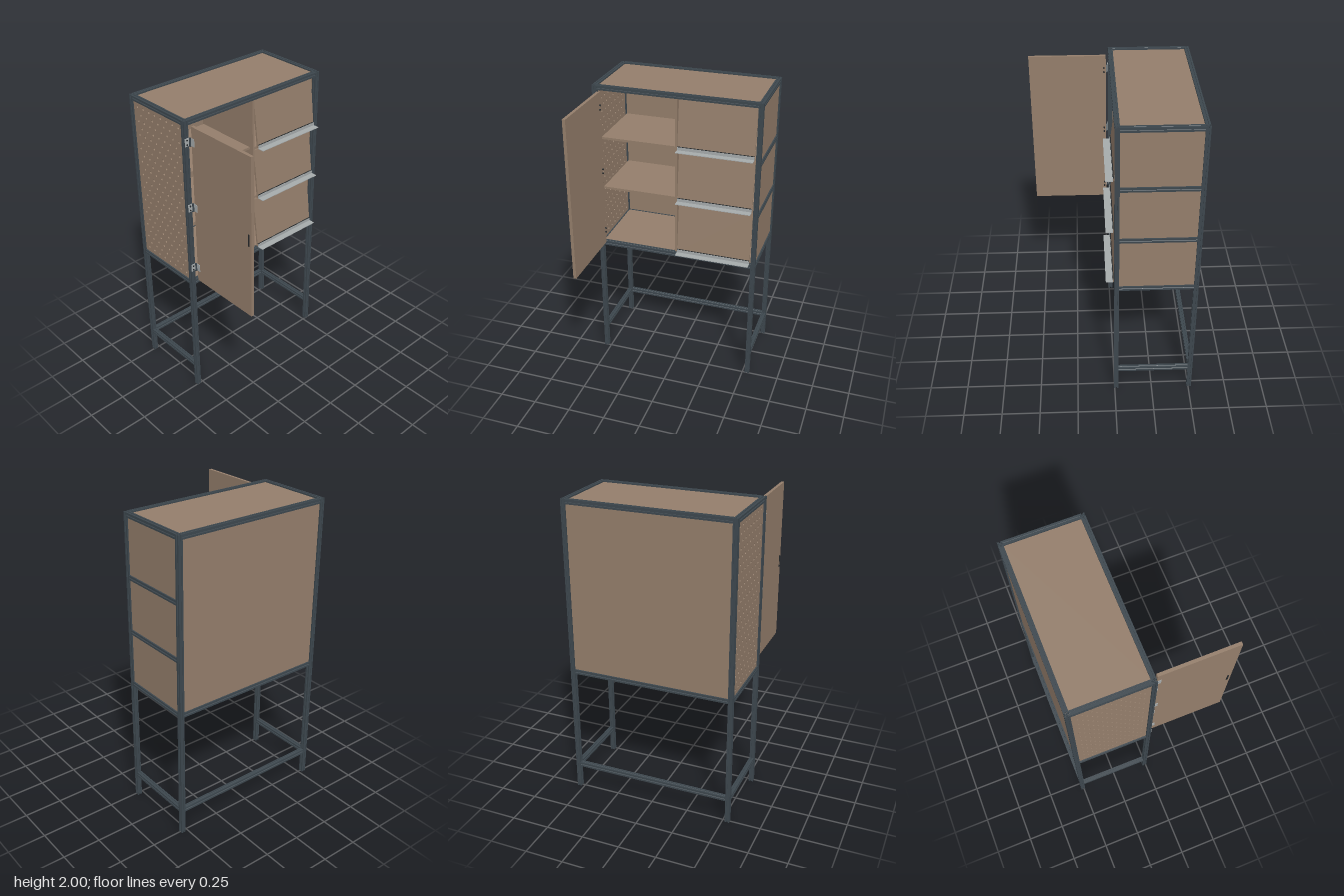
import * as THREE from 'three';

const wood = new THREE.MeshStandardMaterial({ name: 'brown board', color: 0x947e6b });
const metal = new THREE.MeshStandardMaterial({ name: 'dark slate aluminium', color: 0x3d474e });
const silver = new THREE.MeshStandardMaterial({ name: 'silver', color: 0xa6abac });
const black = new THREE.MeshStandardMaterial({ name: 'black fittings', color: 0x26292b });

const X = 0.533, ZF = -0.01, ZB = -0.505, H = 0.015; // post centres and half width
const ZM = (ZF + ZB) / 2, LX = 2 * (X - H), LZ = ZF - ZB - 2 * H;

// Slotted square cross-section, one side turned four times
function slotProfile() {
  const side = [[-H, -H], [-0.004, -H], [-0.004, -0.012], [-0.008, -0.012], [-0.004, -0.007],
    [0.004, -0.007], [0.008, -0.012], [0.004, -0.012], [0.004, -H]];
  const pts = [];
  for (let k = 0; k < 4; k++) {
    for (const [x, y] of side) {
      pts.push(new THREE.Vector2(x, y).rotateAround(new THREE.Vector2(), k * Math.PI / 2));
    }
  }
  const shape = new THREE.Shape(pts);
  shape.holes.push(new THREE.Path().absarc(0, 0, 0.0035, 0, Math.PI * 2, true));
  return shape;
}

export function createModel() {
  const root = new THREE.Group();
  root.name = 'cabinet';
  const profile = slotProfile();

  function add(name, geometry, material, x, y, z, parent = root) {
    const mesh = new THREE.Mesh(geometry, material);
    mesh.name = name;
    mesh.position.set(x, y, z);
    parent.add(mesh);
    return mesh;
  }
  function box(name, material, w, h, d, x, y, z, parent) {
    return add(name, new THREE.BoxGeometry(w, h, d), material, x, y, z, parent);
  }
  // Slotted bar centred on a point along one axis
  function bar(name, axis, length, x, y, z) {
    const g = new THREE.ExtrudeGeometry(profile, { depth: length, bevelEnabled: false, curveSegments: 4 });
    g.translate(0, 0, -length / 2);
    if (axis === 'x') g.rotateY(Math.PI / 2);
    if (axis === 'y') g.rotateX(-Math.PI / 2);
    return add(name, g, metal, x, y, z);
  }

  // Frame: four posts, top and bottom rings, floor stretchers
  for (const x of [-X, X]) {
    for (const z of [ZF, ZB]) bar('post', 'y', 2, x, 1, z);
    for (const y of [1.985, 0.875, 0.175]) bar('sideRail', 'z', LZ, x, y, ZM);
  }
  for (const y of [1.985, 0.875]) {
    for (const z of [ZF, ZB]) bar('longRail', 'x', LX, 0, y, z);
  }
  bar('backStretcher', 'x', LX, 0, 0.175, ZB);
  bar('middleFloorRail', 'z', LZ, 0, 0.875, ZM);
  for (const y of [1.6, 1.24]) bar('sideShelfRail', 'z', LZ, X, y, ZM);

  // Boards held in the frame
  const T = 0.012, MY = 1.43, PH = 1.085;
  box('topPanel', wood, LX + 0.006, T, LZ + 0.006, 0, 1.985, ZM);
  box('floorPanel', wood, LX + 0.006, T, LZ + 0.006, 0, 0.882, ZM);
  box('backPanel', wood, LX + 0.006, PH, T, 0, MY, ZB);
  box('leftSidePanel', wood, T, PH, LZ + 0.006, X, MY, ZM);
  box('divider', wood, 0.014, PH, LZ + 0.02, 0, MY, ZM);

  // Perforated panel on the model's right side
  const w = LZ + 0.006;
  const peg = new THREE.Shape([[-w / 2, -PH / 2], [w / 2, -PH / 2], [w / 2, PH / 2], [-w / 2, PH / 2]]
    .map(([a, b]) => new THREE.Vector2(a, b)));
  for (let r = 0; r < 23; r++) {
    const n = r % 2 ? 7 : 8;
    for (let c = 0; c < n; c++) {
      const hole = new THREE.Path();
      hole.absarc((c - (n - 1) / 2) * 0.056, (r - 11) * 0.046, 0.0075, 0, Math.PI * 2, true);
      peg.holes.push(hole);
    }
  }
  const pegGeometry = new THREE.ExtrudeGeometry(peg, { depth: T, bevelEnabled: false, curveSegments: 8 });
  pegGeometry.translate(0, 0, -T / 2).rotateY(Math.PI / 2);
  add('perforatedPanel', pegGeometry, wood, -X, MY, ZM);

  // Shelves
  for (const y of [1.632, 1.277]) box('openShelf', wood, 0.505, 0.015, 0.45, -0.262, y, -0.265);
  for (const y of [1.622, 1.265]) box('binShelf', wood, 0.512, 0.015, 0.455, 0.262, y, -0.262);

  // Tilted flaps with a pull lip along the lower edge
  for (const [y0, y1] of [[1.64, 1.965], [1.282, 1.61], [0.902, 1.25]]) {
    const flap = new THREE.Group();
    flap.name = 'flap';
    flap.position.set(0.2625, y0, 0.004);
    root.add(flap);
    const h = y1 - y0;
    const board = new THREE.BoxGeometry(0.495, h, 0.012).translate(0, h / 2, 0);
    add('flapBoard', board, wood, 0, 0, 0, flap).rotation.x = -0.12;
    box('pullPlate', silver, 0.495, 0.022, 0.003, 0, 0.009, 0.009, flap);
    box('pullLip', silver, 0.495, 0.004, 0.045, 0, -0.002, 0.0295, flap);
    box('pullEdge', black, 0.495, 0.003, 0.006, 0, 0.021, 0.006, flap);
  }

  // Open door
  box('door', wood, 0.02, 1.07, 0.5, -0.5, 1.43, 0.27);
  box('doorPull', black, 0.003, 0.08, 0.012, -0.511, 1.43, 0.5);

  // Hinges between the front post and the door
  for (const y of [1.868, 1.432, 0.995]) {
    const hinge = new THREE.Group();
    hinge.name = 'hinge';
    hinge.position.y = y;
    root.add(hinge);
    box('postLeaf', silver, 0.03, 0.05, 0.004, -0.533, 0, 0.007, hinge);
    add('knuckle', new THREE.CylinderGeometry(0.006, 0.006, 0.055, 12), metal, -0.517, 0, 0.014, hinge);
    box('doorLeaf', silver, 0.003, 0.05, 0.028, -0.5115, 0, 0.03, hinge);
    for (const dy of [-0.014, 0.014]) {
      const bolt = new THREE.CylinderGeometry(0.005, 0.005, 0.012, 10).rotateZ(Math.PI / 2);
      add('doorBolt', bolt, black, -0.486, dy, 0.032, hinge);
      const screw = new THREE.CylinderGeometry(0.005, 0.005, 0.005, 10).rotateX(Math.PI / 2);
      add('postScrew', screw, black, -0.535, dy, 0.01, hinge);
    }
  }
  return root;
}
